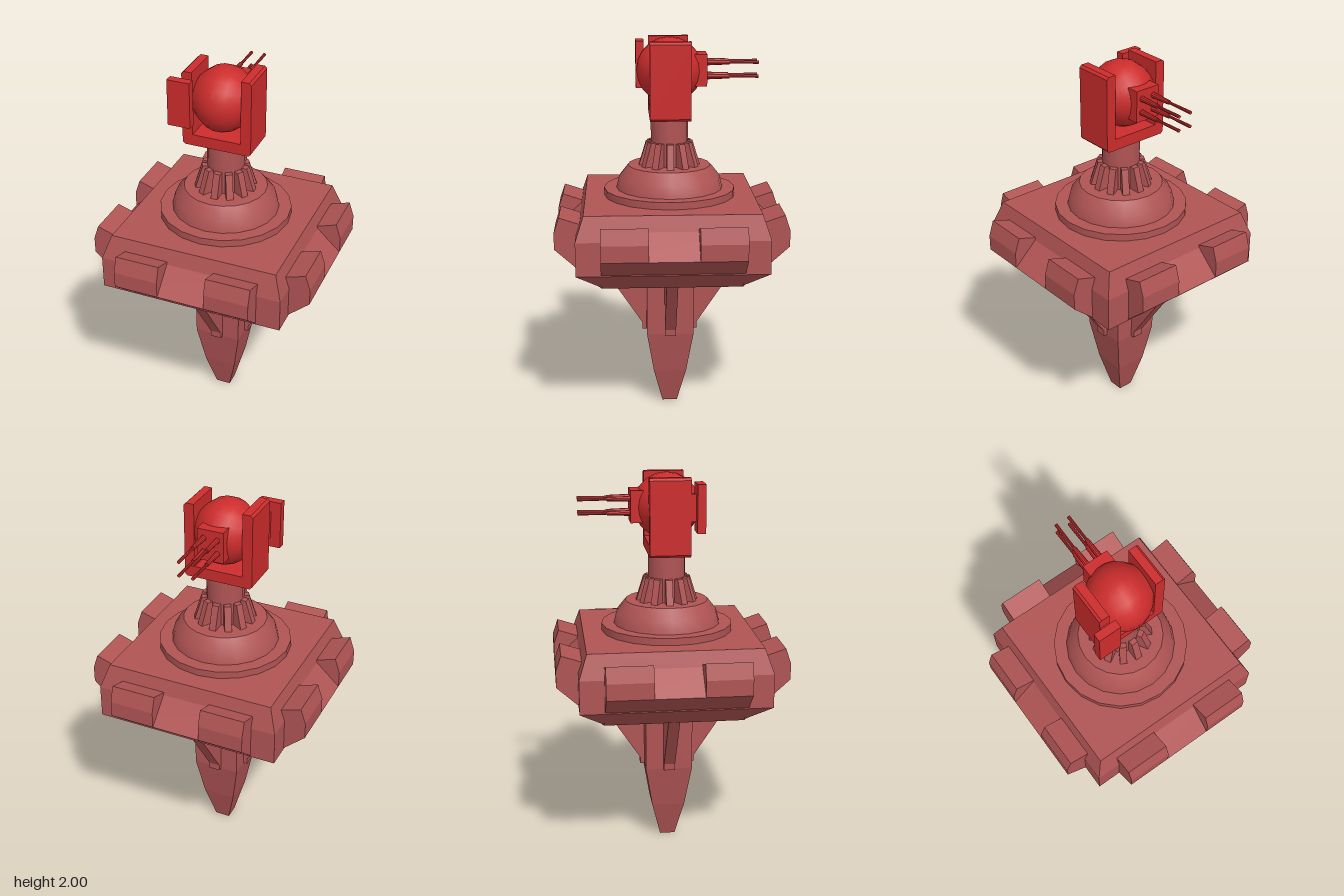
import * as THREE from 'three';
import { toCreasedNormals } from 'three/addons/utils/BufferGeometryUtils.js';

const stone = new THREE.MeshStandardMaterial({ color: 0xb05454 });
const red = new THREE.MeshStandardMaterial({ color: 0xcc2c2c });

function add(parent, name, geometry, material, x = 0, y = 0, z = 0) {
  const mesh = new THREE.Mesh(geometry, material);
  mesh.name = name;
  mesh.position.set(x, y, z);
  parent.add(mesh);
  return mesh;
}

const points = (list) => list.map(([x, y]) => new THREE.Vector2(x, y));

// Turned body, profile listed from bottom to top
function turned(profile, sides) {
  return toCreasedNormals(new THREE.LatheGeometry(points(profile), sides), 0.6);
}

// Square body: half-width and height pairs from bottom to top
function squareLoft(profile) {
  const scaled = profile.map(([r, y]) => [r * Math.SQRT2, y]);
  const g = new THREE.LatheGeometry(points(scaled), 4, Math.PI / 4).toNonIndexed();
  g.computeVertexNormals();
  return g;
}

// Outline in (outward z, y), extruded to a width centred on x
function slab(outline, width, x = 0) {
  const g = new THREE.ExtrudeGeometry(new THREE.Shape(points(outline)), { depth: width, bevelEnabled: false });
  g.translate(0, 0, -width / 2);
  g.rotateY(-Math.PI / 2);
  g.translate(x, 0, 0);
  return g;
}

function createBase() {
  const base = new THREE.Group();
  base.name = 'base';
  add(base, 'platform', squareLoft([
    [0, 0.77], [0.355, 0.77], [0.487, 0.875], [0.487, 1.05], [0.445, 1.175], [0, 1.175],
  ]), stone);
  add(base, 'spike', squareLoft([
    [0, 0], [0.04, 0], [0.088, 0.195], [0.125, 0.42], [0.125, 0.8], [0, 0.8],
  ]), stone);

  // The same bumper, pads and rib on all four sides
  const bumper = slab([[0.3, 0.77], [0.363, 0.77], [0.597, 0.98], [0.468, 1.1], [0.3, 1.1]], 0.72);
  const padOutline = [[0.45, 0.88], [0.488, 0.882], [0.597, 0.98], [0.597, 1.065], [0.57, 1.145], [0.465, 1.11], [0.44, 1.1]];
  const pads = [-1, 1].map((s) => slab(padOutline, 0.235, s * 0.2435));
  const rib = slab([[0.1, 0.42], [0.147, 0.42], [0.147, 0.455], [0.36, 0.775], [0.1, 0.775]], 0.06);
  for (let i = 0; i < 4; i++) {
    const side = new THREE.Group();
    side.name = 'platformSide';
    side.rotation.y = i * Math.PI / 2;
    add(side, 'bumper', bumper, stone);
    pads.forEach((pad) => add(side, 'armourPad', pad, stone));
    add(side, 'spikeRib', rib, stone);
    base.add(side);
  }
  return base;
}

function createPedestal() {
  const pedestal = new THREE.Group();
  pedestal.name = 'pedestal';
  add(pedestal, 'turntable', turned([[0.345, 1.17], [0.345, 1.213], [0, 1.213]], 20), stone);
  add(pedestal, 'dome', turned([[0.28, 1.213], [0.265, 1.275], [0.217, 1.335], [0, 1.335]], 20), stone);
  add(pedestal, 'neck', turned([[0.097, 1.32], [0.097, 1.6], [0, 1.6]], 16), stone);
  const fin = slab([[0.07, 1.33], [0.162, 1.33], [0.122, 1.46], [0.07, 1.46]], 0.036);
  for (let i = 0; i < 12; i++) {
    add(pedestal, 'neckFin', fin, stone).rotation.y = i * Math.PI / 6;
  }
  return pedestal;
}

function createTurret() {
  const turret = new THREE.Group();
  turret.name = 'turret';
  turret.position.x = -0.008;

  // U-shaped yoke with clipped corners
  const o = 0.183, n = 0.129, c = 0.012, low = 1.59, high = 1.99;
  const yoke = new THREE.Shape(points([
    [-o + c, low], [o - c, low], [o, low + c], [o, high - c], [o - c, high], [n, high],
    [n, 1.65], [-n, 1.65], [-n, high], [-o + c, high], [-o, high - c], [-o, low + c],
  ]));
  add(turret, 'yoke', new THREE.ExtrudeGeometry(yoke, { depth: 0.21, bevelEnabled: false }), red, 0, 0, -0.105);

  // Ball with flattened sides, turning on the x axis
  const ball = turned([
    [0, -0.13], [0.1, -0.13], [0.13, -0.1], [0.158, -0.06], [0.17, -0.02],
    [0.17, 0.02], [0.158, 0.06], [0.13, 0.1], [0.1, 0.13], [0, 0.13],
  ], 20);
  ball.rotateZ(-Math.PI / 2);
  add(turret, 'ball', ball, red, 0, 1.83, 0);

  // Four stepped barrels on a mounting block at the back
  add(turret, 'gunBlock', new THREE.BoxGeometry(0.138, 0.165, 0.07), red, 0, 1.834, -0.157);
  const barrel = turned([
    [0.015, 0], [0.011, 0.12], [0.007, 0.12], [0.007, 0.15], [0.0085, 0.27], [0, 0.27],
  ], 10);
  barrel.rotateX(-Math.PI / 2);
  for (const x of [-0.036, 0.036]) {
    for (const y of [1.799, 1.871]) add(turret, 'barrel', barrel, red, x, y, -0.189);
  }

  // Sensor box carried by an arm on the right plate
  add(turret, 'sensorArm', new THREE.BoxGeometry(0.048, 0.14, 0.05), red, -0.156, 1.84, 0.115);
  add(turret, 'sensorBox', new THREE.BoxGeometry(0.12, 0.245, 0.043), red, -0.172, 1.842, 0.15);
  return turret;
}

export function createModel() {
  const model = new THREE.Group();
  model.name = 'sentryTurret';
  model.add(createBase(), createPedestal(), createTurret());
  return model;
}
